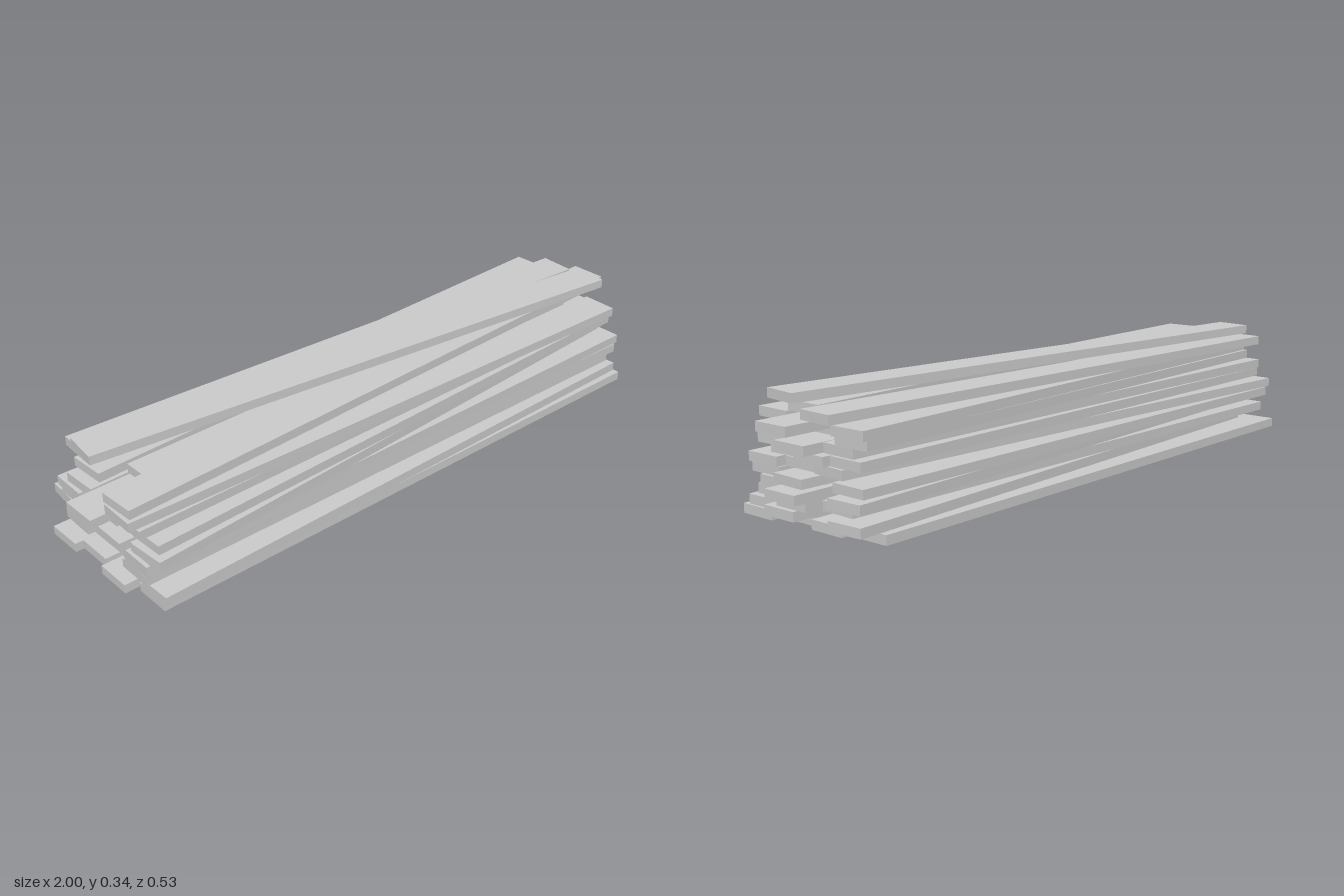
import * as THREE from 'three';

const LENGTH = 1.81, WIDTH = 0.112, THICK = 0.027;

// Layers from the ground up: base height, then planks as
// [x shift, z at the left (+x) end, z at the right (-x) end]
const LAYERS = [
  { y: 0.0, planks: [[0.005, 0.18, 0.162], [-0.03, 0.052, 0.033], [-0.005, -0.076, -0.096], [-0.03, -0.208, -0.208]] },
  { y: 0.028, planks: [[0.0, 0.16, 0.18], [0.045, 0.045, 0.045], [0.04, -0.191, -0.115]] },
  { y: 0.059, planks: [[-0.01, 0.136, 0.112], [0.04, 0.002, -0.014], [0.0, -0.125, -0.181]] },
  { y: 0.085, planks: [[-0.01, 0.125, 0.125], [0.08, -0.003, -0.003], [0.04, -0.191, -0.115]] },
  { y: 0.111, planks: [[-0.02, 0.171, 0.136], [0.03, 0.026, -0.054], [0.0, -0.164, -0.197]] },
  { y: 0.14, planks: [[-0.01, 0.17, 0.163], [-0.035, 0.052, 0.04], [-0.02, -0.069, -0.2]] },
  { y: 0.17, planks: [[-0.03, 0.101, 0.209], [0.0, -0.02, -0.025], [-0.02, -0.135, -0.149]] },
  { y: 0.197, planks: [[-0.01, 0.128, 0.182], [0.03, 0.016, 0.014], [-0.03, -0.099, -0.149]] },
  { y: 0.226, planks: [[-0.03, 0.127, 0.134], [-0.095, 0.006, 0.012], [-0.02, -0.157, -0.106]] },
  { y: 0.253, planks: [[-0.05, 0.173, 0.12]] },
  { y: 0.258, planks: [[0.095, 0.004, 0.01], [0.01, -0.176, -0.112]] },
  { y: 0.285, planks: [[-0.045, 0.045, 0.115], [0.02, -0.07, -0.178]] },
  { y: 0.315, planks: [[-0.005, 0.095, -0.119]] },
];

// A plank is a shallow box that is open underneath
function plankGeometry() {
  const box = new THREE.BoxGeometry(LENGTH, THICK, WIDTH);
  const underside = box.groups[3];
  const end = underside.start + underside.count;
  box.setIndex([...box.index.array].filter((_, i) => i < underside.start || i >= end));
  box.clearGroups();
  return box;
}

export function createModel() {
  const model = new THREE.Group();
  model.name = 'plankStack';
  const geometry = plankGeometry();
  const material = new THREE.MeshStandardMaterial({ color: 0xcccccc, flatShading: true, side: THREE.DoubleSide });

  LAYERS.forEach(({ y, planks }, i) => {
    const layer = new THREE.Group();
    layer.name = `plankLayer${i + 1}`;
    planks.forEach(([x, zLeft, zRight], j) => {
      const plank = new THREE.Mesh(geometry, material);
      plank.name = `plank${j + 1}`;
      plank.position.set(x, y + THICK / 2, (zLeft + zRight) / 2);
      // Skew each plank so that its ends land on the given depths
      plank.rotation.y = -Math.asin((zLeft - zRight) / LENGTH);
      layer.add(plank);
    });
    model.add(layer);
  });
  return model;
}
